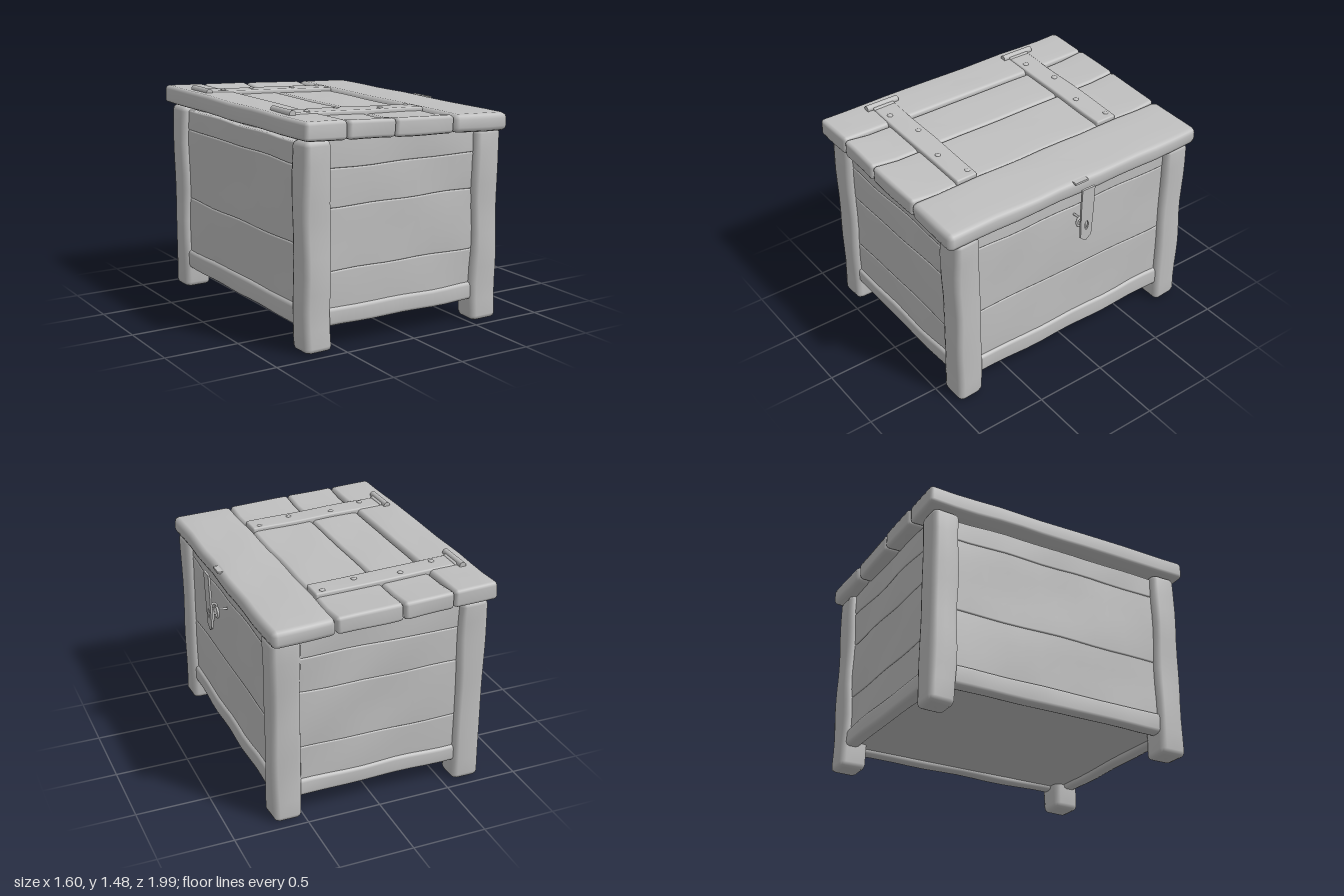
import * as THREE from 'three';
import { mergeVertices } from 'three/addons/utils/BufferGeometryUtils.js';

const wood = new THREE.MeshStandardMaterial({ color: 0xbfbfbf });
wood.name = 'pale grey';

// Gentle hand-hewn unevenness
const wave = (a, b, c) => Math.sin(a * 9.1 + b * 4.3 + 1.7) * Math.sin(b * 7.7 - c * 5.1 + 0.6) +
  0.5 * Math.sin(c * 13 + a * 6 + b * 11);

// Round-edged timber between two corners, with optional shaping rule
function timber(name, lo, hi, { r = 0.025, amp = 0.005, shape } = {}) {
  const size = lo.map((v, i) => hi[i] - v);
  const seg = size.map(s => Math.min(14, Math.max(3, Math.round(s / 0.12) + 2)));
  let geo = new THREE.BoxGeometry(1, 1, 1, ...seg);
  geo.deleteAttribute('uv');
  geo.deleteAttribute('normal');
  geo = mergeVertices(geo);
  const pos = geo.attributes.position;
  const rad = Math.min(r, ...size.map(s => s * 0.45));
  for (let i = 0; i < pos.count; i++) {
    const p = [0, 1, 2].map(k => {
      const j = Math.round((pos.getComponent(i, k) + 0.5) * seg[k]);
      if (j === 0) return lo[k];
      if (j === seg[k]) return hi[k];
      return lo[k] + rad + (j - 1) / (seg[k] - 2) * (size[k] - 2 * rad);
    });
    // pull edges and corners onto a rounded surface
    const core = p.map((v, k) => Math.min(hi[k] - rad, Math.max(lo[k] + rad, v)));
    const d = p.map((v, k) => v - core[k]);
    const len = Math.hypot(...d) || 1;
    let q = core.map((v, k) => v + d[k] / len * rad);
    q = [q[0] + amp * wave(q[1], q[2], q[0]), q[1] + amp * 0.6 * wave(q[2], q[0], q[1]),
      q[2] + amp * wave(q[0], q[1], q[2])];
    if (shape) q = shape(q);
    pos.setXYZ(i, ...q);
  }
  geo.computeVertexNormals();
  return part(name, geo);
}

function part(name, geo, x = 0, y = 0, z = 0) {
  const mesh = new THREE.Mesh(geo, wood);
  mesh.name = name;
  mesh.position.set(x, y, z);
  return mesh;
}

function createBody() {
  const body = new THREE.Group();
  body.name = 'body';
  // Corner posts
  for (const s of [-1, 1]) {
    const z = [s * 0.755, s * 0.94].sort((a, b) => a - b);
    body.add(timber('backPost', [-0.76, 0.005, z[0]], [-0.57, 1.325, z[1]], { r: 0.035 }));
    body.add(timber('frontPost', [0.515, 0.005, z[0]], [0.71, 1.295, z[1]], { r: 0.035 }));
  }
  // Wall planks, stacked with shallow seams
  const endSeams = [0.25, 0.5, 0.9, 1.14, 1.32];
  const sideSeams = [0.26, 0.66, 1.16, 1.3];
  for (const s of [-1, 1]) {
    const z = [s * 0.83, s * 0.895].sort((a, b) => a - b);
    for (let i = 0; i + 1 < endSeams.length; i++)
      body.add(timber('endPlank', [-0.62, endSeams[i], z[0]], [0.57, endSeams[i + 1], z[1]], { r: 0.01, amp: 0.006 }));
    body.add(timber('endRail', [-0.62, 0.15, s > 0 ? 0.82 : -0.915], [0.57, 0.27, s > 0 ? 0.915 : -0.82]));
    const x = s > 0 ? [0.6, 0.665] : [-0.715, -0.65];
    for (let i = 0; i + 1 < sideSeams.length; i++)
      body.add(timber('sidePlank', [x[0], sideSeams[i], -0.8], [x[1], sideSeams[i + 1], 0.8], { r: 0.01, amp: 0.006 }));
    body.add(timber('sideRail', [s > 0 ? 0.59 : -0.735, 0.15, -0.8], [s > 0 ? 0.685 : -0.64, 0.285, 0.8]));
  }
  // Floor
  body.add(part('floor', new THREE.BoxGeometry(1.32, 0.03, 1.7), -0.025, 0.195, 0));
  return body;
}

function createLid() {
  const lid = new THREE.Group();
  lid.name = 'lid';
  lid.position.set(-0.03, 1.365, 0);
  lid.rotation.z = -0.04;
  // Four boards; the two middle ones sag between their ends
  const sag = p => [p[0], p[1] - (p[1] > 0 && Math.abs(p[2]) < 0.92 ? 0.018 : 0), p[2]];
  const seams = [-0.76, -0.455, -0.112, 0.332, 0.755];
  for (let i = 0; i < 4; i++) {
    const middle = i === 1 || i === 2;
    const end = 0.985 + (i % 2) * 0.006;
    lid.add(timber('lidBoard', [seams[i] + 0.002, -0.06, -end], [seams[i + 1] - 0.002, 0.06, end],
      { r: i === 3 ? 0.035 : 0.024, amp: 0.004, shape: middle ? sag : undefined }));
  }
  for (const s of [-1, 1]) {
    // Cross strap with nails
    const c = s * 0.565;
    lid.add(timber('strap', [-0.655, 0.02, c - 0.08], [0.33, 0.068, c + 0.08], { r: 0.012, amp: 0.003 }));
    for (const [x, dz] of [[-0.52, 0.03], [-0.27, -0.03], [0.03, 0.02], [0.27, -0.04]]) {
      const nail = part('nail', new THREE.SphereGeometry(0.02, 10, 6), x, 0.067, c + dz);
      nail.scale.y = 0.5;
      lid.add(nail);
    }
    // Hinge barrel and plate
    const barrel = part('hingeBarrel', new THREE.CylinderGeometry(0.023, 0.023, 0.24, 12), -0.67, 0.067, c);
    barrel.rotation.x = Math.PI / 2;
    lid.add(barrel);
    lid.add(timber('hingePlate', [-0.69, 0.04, c - 0.08], [-0.63, 0.074, c + 0.08], { r: 0.008, amp: 0 }));
  }
  return lid;
}

function createLatch() {
  const latch = new THREE.Group();
  latch.name = 'latch';
  // Hanging hasp with a pointed foot and a slot
  const outline = new THREE.Shape([[-0.05, 1.38], [-0.05, 1.22], [-0.043, 1.0], [0, 0.965], [0.043, 1.0],
    [0.05, 1.22], [0.05, 1.38]].map(p => new THREE.Vector2(...p)));
  const slot = new THREE.Path();
  slot.absellipse(0, 1.09, 0.014, 0.035, 0, Math.PI * 2, true);
  outline.holes.push(slot);
  const hasp = part('hasp', new THREE.ExtrudeGeometry(outline, { depth: 0.014, bevelEnabled: false }), 0.715, 0, 0);
  hasp.rotation.y = Math.PI / 2;
  const swing = new THREE.Group();
  swing.name = 'haspSwing';
  swing.rotation.z = -0.03;
  swing.position.set(0.035, 0.022, 0);
  swing.add(hasp);
  latch.add(swing);
  // Top lip folded over the lid edge
  latch.add(part('haspLip', new THREE.BoxGeometry(0.035, 0.014, 0.1), 0.72, 1.388, 0));
  // Staple ring and hanging peg
  const ring = part('stapleRing', new THREE.TorusGeometry(0.036, 0.009, 8, 20), 0.742, 1.09, 0);
  ring.rotation.y = Math.PI / 2;
  latch.add(ring);
  const path = new THREE.CatmullRomCurve3([[0.66, 1.1], [0.73, 1.11], [0.748, 1.15], [0.768, 1.155], [0.782, 1.12],
    [0.765, 1.085], [0.735, 1.08]].map(([x, y]) => new THREE.Vector3(x, y, 0)));
  latch.add(part('staple', new THREE.TubeGeometry(path, 28, 0.008, 8)));
  latch.add(part('peg', new THREE.CylinderGeometry(0.01, 0.012, 0.09, 10), 0.769, 1.075, 0));
  return latch;
}

export function createModel() {
  const model = new THREE.Group();
  model.name = 'woodenChest';
  model.add(createBody(), createLid(), createLatch());
  return model;
}
